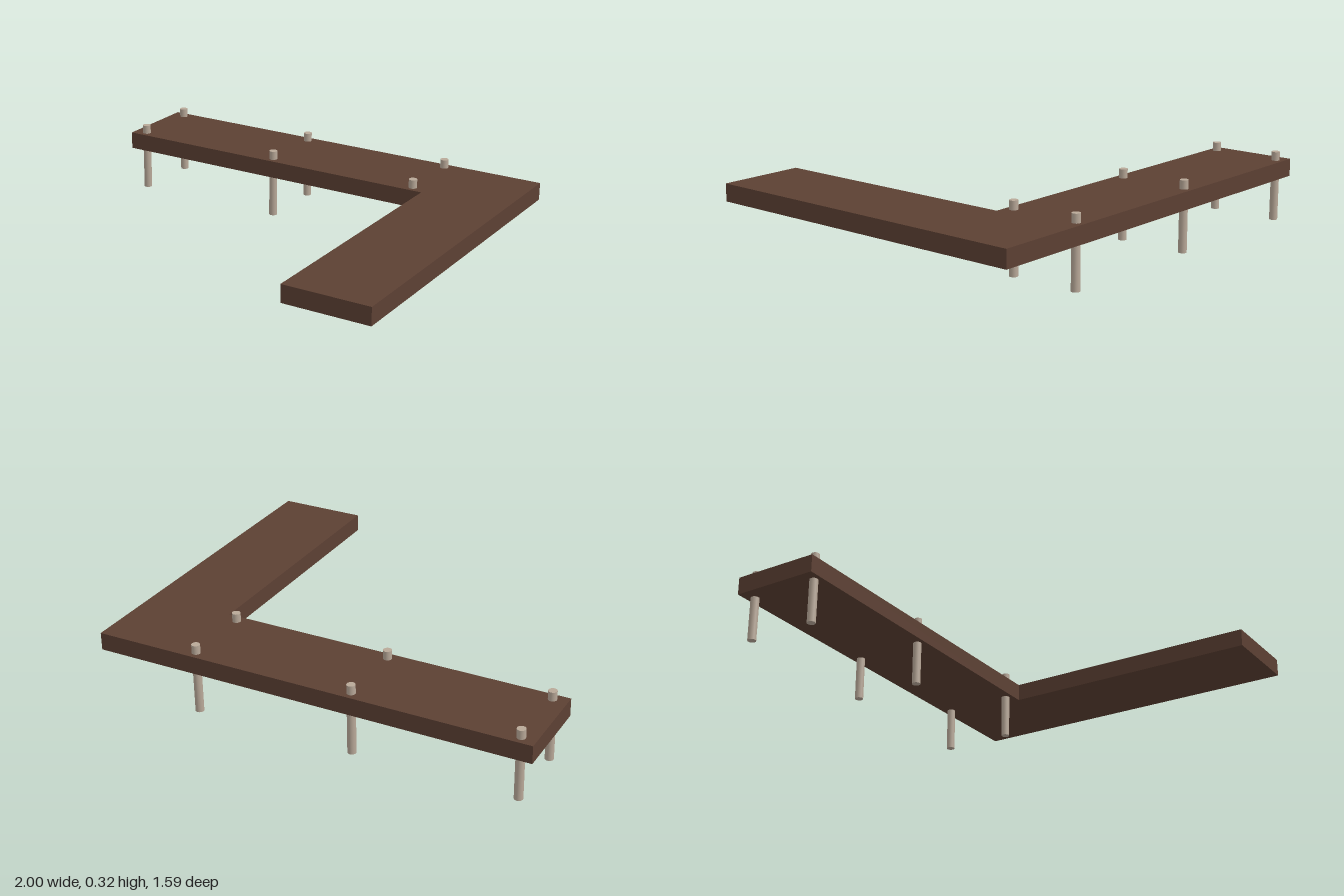
import * as THREE from 'three';

export function createModel() {
  const dock = new THREE.Group();
  dock.name = 'dock';
  const wood = new THREE.MeshStandardMaterial({ color: 0x5c4033 });
  const postWood = new THREE.MeshStandardMaterial({ color: 0xb8a898 });

  // L-shaped deck, outlined in plan as (x, -z) and extruded upward
  const outline = [[-1, 0.4], [0.6, 0.4], [0.6, -0.797], [1, -0.797], [1, 0.797], [-1, 0.797]];
  const shape = new THREE.Shape(outline.map(([x, y]) => new THREE.Vector2(x, y)));
  const deckGeometry = new THREE.ExtrudeGeometry(shape, { depth: 0.08, bevelEnabled: false });
  deckGeometry.rotateX(-Math.PI / 2);
  const deck = new THREE.Mesh(deckGeometry, wood);
  deck.name = 'deck';
  deck.position.y = 0.2;
  dock.add(deck);

  // Three pairs of posts rising through the long arm
  const postGeometry = new THREE.CylinderGeometry(0.019, 0.019, 0.32, 16);
  const posts = new THREE.Group();
  posts.name = 'posts';
  for (const x of [-0.935, -0.198, 0.539]) {
    for (const z of [-0.758, -0.438]) {
      const post = new THREE.Mesh(postGeometry, postWood);
      post.name = 'post';
      post.position.set(x, 0.16, z);
      posts.add(post);
    }
  }
  dock.add(posts);
  return dock;
}
